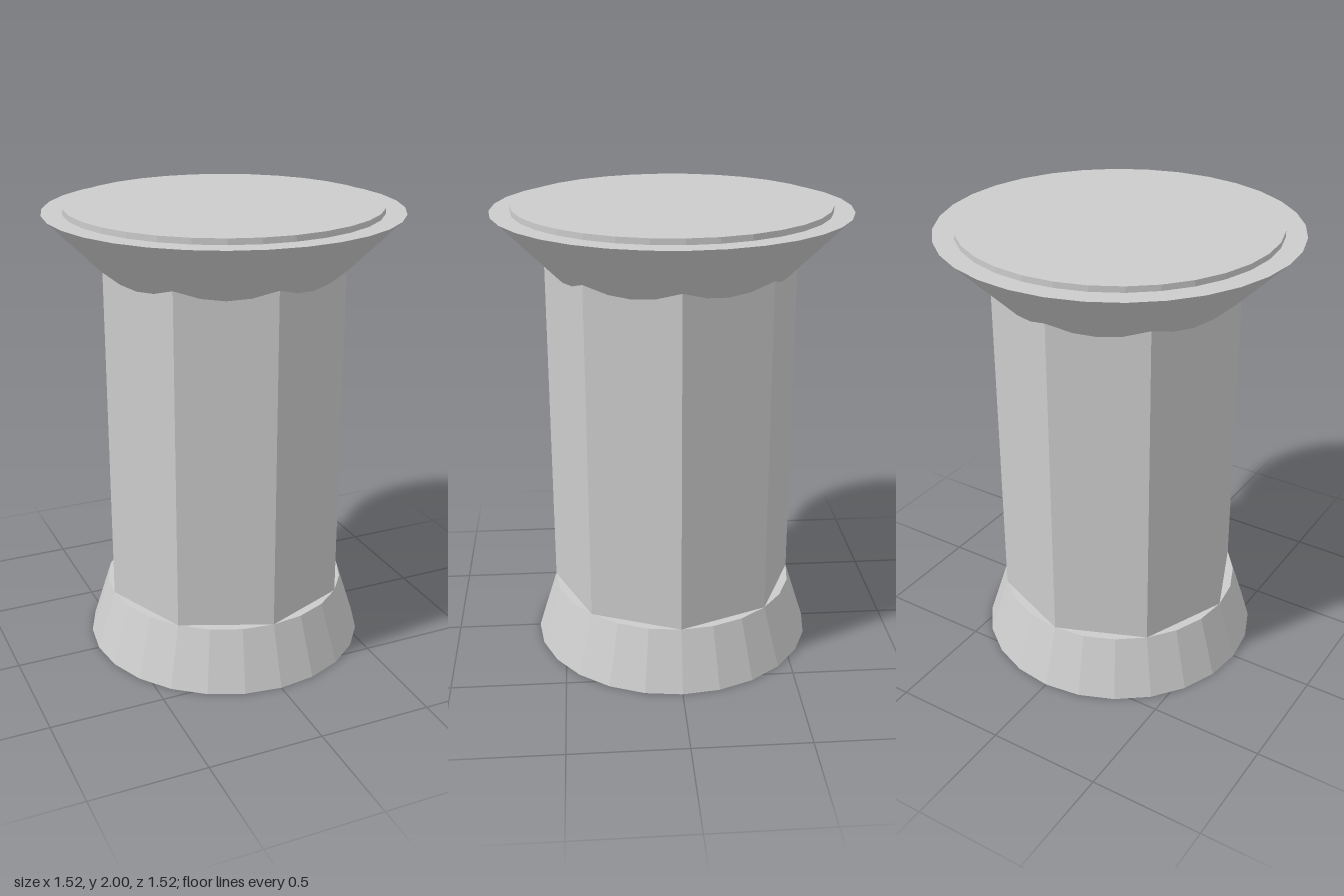
import * as THREE from 'three';

export function createModel() {
  const model = new THREE.Group();
  model.name = 'column';
  const stone = new THREE.MeshStandardMaterial({ color: 0xcccccc, flatShading: true });
  stone.name = 'grey stone';

  // One faceted, closed drum between two heights
  function drum(name, bottomRadius, topRadius, y0, y1, sides) {
    const geometry = new THREE.CylinderGeometry(topRadius, bottomRadius, y1 - y0, sides);
    const mesh = new THREE.Mesh(geometry, stone);
    mesh.name = name;
    mesh.position.y = (y0 + y1) / 2;
    model.add(mesh);
  }

  drum('base', 0.625, 0.54, 0, 0.27, 24);
  // Eight-sided shaft, running up into the flared capital
  drum('shaft', 0.54, 0.54, 0.27, 1.8, 8);
  drum('capital', 0.45, 0.76, 1.665, 1.975, 32);
  drum('topDisc', 0.672, 0.672, 1.975, 2, 32);

  return model;
}
